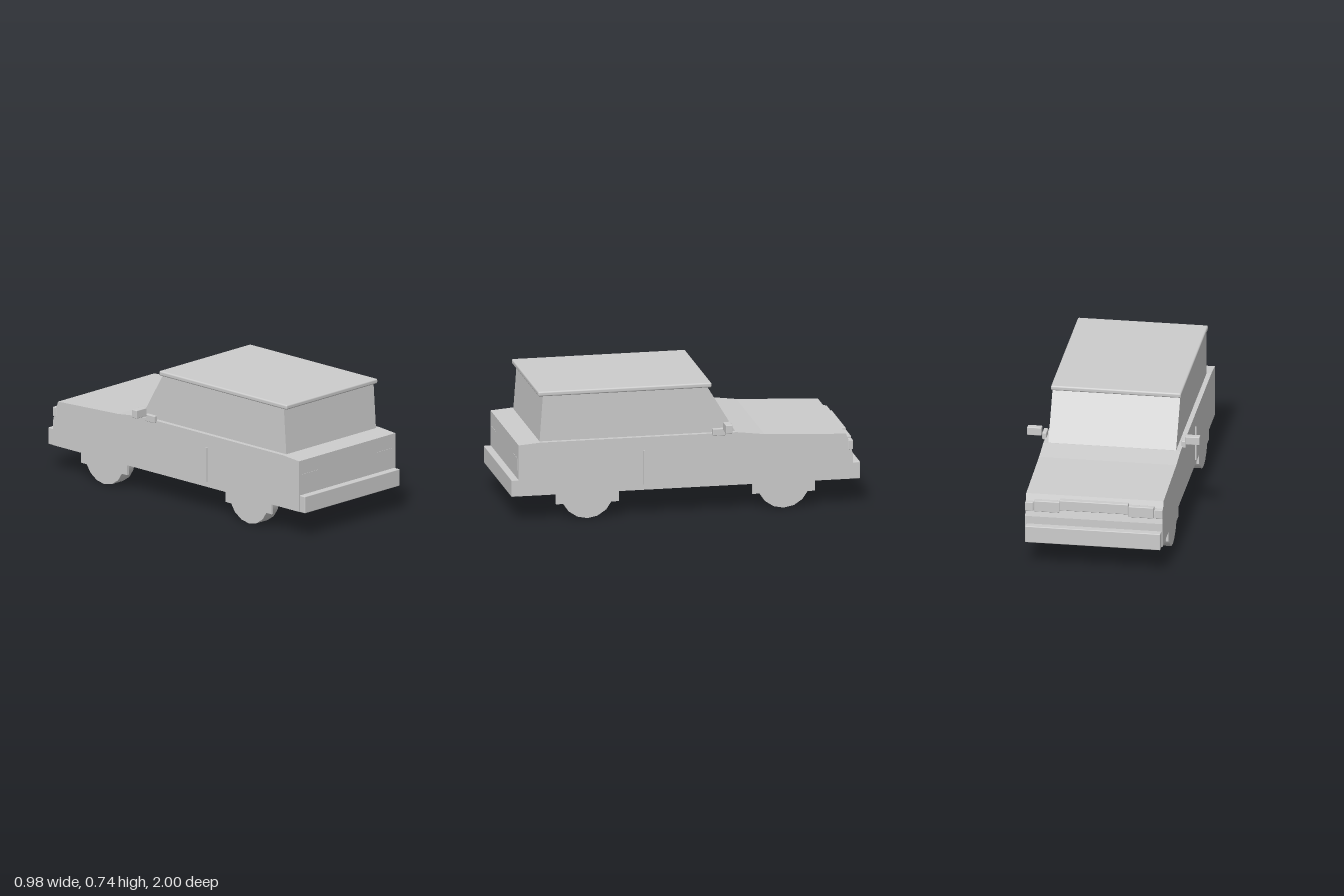
import * as THREE from 'three';
import { RoundedBoxGeometry } from 'three/addons/geometries/RoundedBoxGeometry.js';

const paint = new THREE.MeshStandardMaterial({ color: 0xcccccc });
paint.name = 'light grey';

export function createModel() {
  const car = new THREE.Group();
  car.name = 'car';

  function add(name, geometry) {
    const mesh = new THREE.Mesh(geometry, paint);
    mesh.name = name;
    car.add(mesh);
    return mesh;
  }

  // Box given by its limits on each axis; a radius rounds its edges
  function box(name, [x0, x1], [y0, y1], [z0, z1], radius = 0) {
    const size = [x1 - x0, y1 - y0, z1 - z0];
    const geometry = radius
      ? new RoundedBoxGeometry(...size, 2, radius)
      : new THREE.BoxGeometry(...size);
    add(name, geometry).position.set((x0 + x1) / 2, (y0 + y1) / 2, (z0 + z1) / 2);
  }

  // Side profile of [z, y] points, extruded across the car
  function slab(name, points, halfWidth) {
    const shape = new THREE.Shape(points.map(([z, y]) => new THREE.Vector2(-z, y)));
    const geometry = new THREE.ExtrudeGeometry(shape, { depth: halfWidth * 2, bevelEnabled: false });
    geometry.translate(0, 0, -halfWidth);
    geometry.rotateY(Math.PI / 2);
    add(name, geometry);
  }

  // Body with the bonnet towards -z
  slab('body', [
    [0.96, 0.15], [-0.957, 0.15], [-0.957, 0.29], [-0.945, 0.34], [-0.917, 0.413],
    [-0.45, 0.436], [-0.29, 0.456], [0.835, 0.456], [0.96, 0.446],
  ], 0.39);

  // Cabin and its overhanging roof
  slab('cabin', [[0.835, 0.45], [-0.29, 0.45], [-0.125, 0.725], [0.815, 0.725]], 0.363);
  box('roof', [-0.37, 0.37], [0.717, 0.745], [-0.152, 0.843], 0.009);

  // Bumpers
  box('tailBumper', [-0.384, 0.384], [0.147, 0.245], [0.95, 1], 0.004);
  box('noseBumper', [-0.384, 0.384], [0.147, 0.245], [-1, -0.95], 0.004);

  // Grille
  box('grille', [-0.195, 0.195], [0.335, 0.395], [-0.957, -0.92], 0.004);

  for (const side of [-1, 1]) {
    const span = (a, b) => (side > 0 ? [a, b] : [-b, -a]);

    // Lamps
    box('headlight', span(0.195, 0.34), [0.32, 0.385], [-0.958, -0.925], 0.004);
    box('indicator', span(0.345, 0.391), [0.32, 0.375], [-0.958, -0.93], 0.004);
    box('tailLight', span(0.232, 0.367), [0.295, 0.365], [0.955, 0.962]);

    // Door seam strip
    box('doorStrip', span(0.385, 0.397), [0.18, 0.38], [0.236, 0.246]);

    // Door mirror
    box('mirrorArm', span(0.384, 0.408), [0.445, 0.486], [-0.222, -0.15], 0.004);
    box('mirrorHead', span(0.408, 0.49), [0.477, 0.525], [-0.247, -0.208], 0.004);

    // Wheels and the arch plates outside them
    for (const z of [0.565, -0.56]) {
      box('archPlate', span(0.376, 0.39), [0.092, 0.155], [z - 0.18, z + 0.18]);
      const wheel = new THREE.CylinderGeometry(0.152, 0.152, 0.09, 16);
      wheel.rotateZ(Math.PI / 2);
      add('wheel', wheel).position.set(side * 0.342, 0.154, z);
    }
  }
  return car;
}
